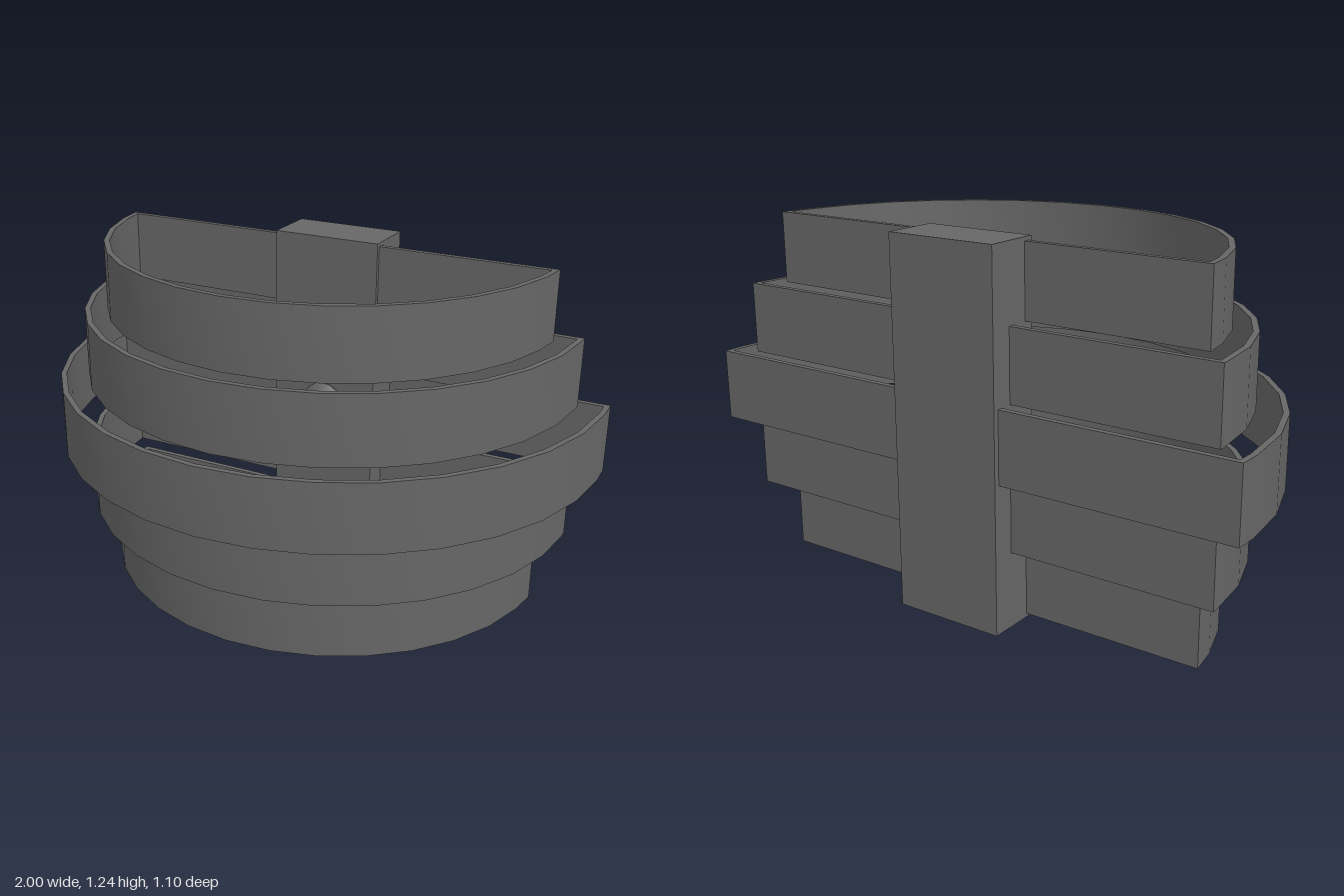
import * as THREE from 'three';
import { toCreasedNormals } from 'three/addons/utils/BufferGeometryUtils.js';

const WALL = 0.02, CENTRE_Z = -0.45, BAND_H = 0.243, BOTTOM = 0.0125;

// D-shaped outline: an arc closed by a straight back, coordinates are (x, z)
function outline(radius, back) {
  const pts = [];
  const edge = (back - CENTRE_Z) / radius;
  pts.push(new THREE.Vector2(radius * Math.sqrt(1 - edge * edge), back));
  for (let i = 0; i <= 16; i++) {
    const a = (i / 16) * Math.PI;
    const z = CENTRE_Z + radius * Math.sin(a);
    if (z > back + 0.005) pts.push(new THREE.Vector2(radius * Math.cos(a), z));
  }
  pts.push(new THREE.Vector2(-pts[0].x, back));
  return pts;
}

// Hollow band standing between two heights
function bandGeometry(radius, back, y) {
  const shape = new THREE.Shape(outline(radius, back));
  shape.holes.push(new THREE.Path(outline(radius - WALL, back + WALL).reverse()));
  const geo = new THREE.ExtrudeGeometry(shape, { depth: BAND_H, bevelEnabled: false });
  geo.rotateX(Math.PI / 2).translate(0, y + BAND_H, 0);
  return toCreasedNormals(geo, 0.5);
}

export function createModel() {
  const group = new THREE.Group();
  const grey = new THREE.MeshStandardMaterial({ color: 0x666666 });
  grey.name = 'darkGrey';

  const add = (name, geo) => {
    const mesh = new THREE.Mesh(geo, grey);
    mesh.name = name;
    group.add(mesh);
    return mesh;
  };

  // Five stacked shade bands, widest in the middle
  const small = [0.82, -0.39], medium = [0.9, -0.47], large = [1, -0.53];
  [small, medium, large, medium, small].forEach(([r, back], i) =>
    add(`shadeBand${i + 1}`, bandGeometry(r, back, BOTTOM + i * BAND_H)));

  // Wall mount
  add('wallMount', new THREE.BoxGeometry(0.39, 1.24, 0.195)).position.set(0, 0.62, -0.4525);

  // Bulb holder pointing forward from the mount
  const profile = [[0, 0], [0.08, 0], [0.08, 0.005], [0.045, 0.03], [0.045, 0.2], [0, 0.2]]
    .map(([r, h]) => new THREE.Vector2(r, h));
  const holder = toCreasedNormals(new THREE.LatheGeometry(profile, 16), 0.5);
  holder.rotateX(Math.PI / 2);
  add('bulbHolder', holder).position.set(0, 0.62, -0.355);

  return group;
}
